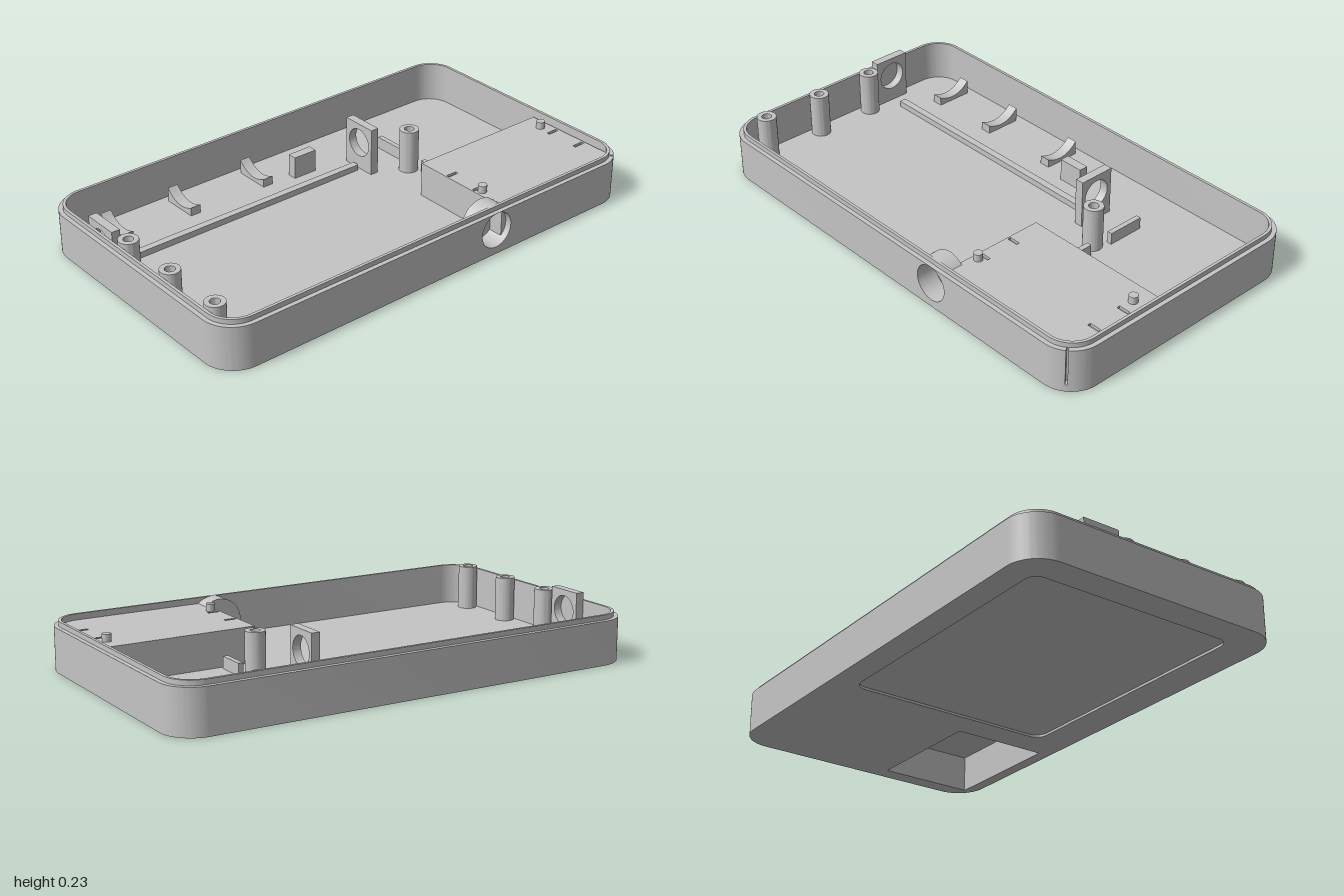
import * as THREE from 'three';
import { toCreasedNormals } from 'three/addons/utils/BufferGeometryUtils.js';

const plastic = new THREE.MeshStandardMaterial({ color: 0xc4c4c4 });
plastic.name = 'light grey plastic';

const HALF_X = 1, HALF_Z = 0.577, RADIUS = 0.13, ARC = 24;
const FLOOR = 0.03, SHOULDER = 0.18, LIP = 0.2;

const V = (x, y) => new THREE.Vector2(x, y);

// Rounded rectangle outline in shape space (shape y = -z)
function roundedPoints(x0, x1, z0, z1, r) {
  const pts = [];
  const centres = [[x1 - r, z1 - r, 90], [x1 - r, z0 + r, 0], [x0 + r, z0 + r, -90], [x0 + r, z1 - r, -180]];
  for (const [cx, cz, start] of centres) {
    for (let i = 0; i <= ARC; i++) {
      const a = THREE.MathUtils.degToRad(start - (90 * i) / ARC);
      pts.push(V(cx + r * Math.cos(a), -(cz + r * Math.sin(a))));
    }
  }
  return pts;
}

const caseOutline = (inset) =>
  roundedPoints(-HALF_X + inset, HALF_X - inset, -HALF_Z + inset, HALF_Z - inset, RADIUS - inset);

const rectPoints = (x0, x1, z0, z1) => [V(x0, -z1), V(x1, -z1), V(x1, -z0), V(x0, -z0)];

function shapeWithHoles(points, holes = []) {
  const shape = new THREE.Shape(points);
  for (const h of holes) shape.holes.push(new THREE.Path(h));
  return shape;
}

function circlePath(x, y, r) {
  return new THREE.Path().absarc(x, y, r, 0, Math.PI * 2, true);
}

function ring(x, y, r, holeR) {
  const s = new THREE.Shape().absarc(x, y, r, 0, Math.PI * 2, false);
  s.holes.push(circlePath(x, y, holeR));
  return s;
}

export function createModel() {
  const group = new THREE.Group();
  group.name = 'enclosureBase';

  function add(name, geometry) {
    const mesh = new THREE.Mesh(toCreasedNormals(geometry, 0.5), plastic);
    mesh.name = name;
    group.add(mesh);
  }
  const extrude = (shape, depth) =>
    new THREE.ExtrudeGeometry(shape, { depth, bevelEnabled: false, curveSegments: 24 });
  // Extrusions along y, z and x
  const slab = (name, shape, y0, y1) =>
    add(name, extrude(shape, y1 - y0).rotateX(-Math.PI / 2).translate(0, y0, 0));
  const plateZ = (name, shape, z0, z1) =>
    add(name, extrude(shape, z1 - z0).translate(0, 0, z0));
  const plateX = (name, shape, x0, x1) =>
    add(name, extrude(shape, x1 - x0).rotateY(-Math.PI / 2).translate(x1, 0, 0));
  const block = (name, x0, x1, z0, z1, y0, y1) =>
    add(name, new THREE.BoxGeometry(x1 - x0, y1 - y0, z1 - z0)
      .translate((x0 + x1) / 2, (y0 + y1) / 2, (z0 + z1) / 2));

  // Outer wall: open band, broken at the front socket and at a narrow corner slot
  const gap0 = 0.19, gap1 = 0.36, wall = 0.03;
  const path = (inset) => {
    const z = -(HALF_Z - inset);
    return [V(gap1, z), ...caseOutline(inset), V(gap0, z)];
  };
  const outer = path(0), inner = path(wall);
  const band = (name, i, j, y0, y1) =>
    slab(name, new THREE.Shape([...outer.slice(i, j + 1), ...inner.slice(i, j + 1).reverse()]), y0, y1);
  const slot = 11;
  band('wallFrontLeft', 0, slot, 0, SHOULDER);
  band('wallMain', slot + 1, outer.length - 1, 0, SHOULDER);
  band('wallBelowSlot', slot, slot + 1, 0, FLOOR);

  // Stepped lip on the rim
  slab('rimLip', shapeWithHoles(caseOutline(0.018), [caseOutline(wall)]), SHOULDER - 0.001, LIP);

  // Floor with the compartment opening and a shallow label recess underneath
  const opening = rectPoints(0.385, 0.93, 0.115, 0.525);
  const recess = roundedPoints(-0.88, 0.26, -0.47, 0.43, 0.05);
  slab('floorUnderside', shapeWithHoles(caseOutline(0.025), [opening, recess]), 0, 0.01);
  slab('floor', shapeWithHoles(caseOutline(0.025), [opening]), 0.01, FLOOR);

  // Compartment box, open below, with blind slots in its roof
  const boxOutline = [V(0.325, -0.55), V(0.92, -0.55), V(0.955, -0.51), V(0.955, -0.095), V(0.325, -0.095)];
  slab('compartmentWalls', shapeWithHoles(boxOutline, [opening]), FLOOR - 0.01, 0.155);
  const slots = [];
  for (const z of [0.24, 0.385]) {
    slots.push(rectPoints(0.332, 0.38, z - 0.007, z + 0.007));
    slots.push(rectPoints(0.895, 0.945, z - 0.007, z + 0.007));
    block('contactRib', 0.38, 0.395, z - 0.007, z + 0.007, 0.03, 0.155);
  }
  block('contactBar', 0.38, 0.392, 0.24, 0.385, 0.07, 0.085);
  slab('compartmentRoof', shapeWithHoles(boxOutline), 0.155, 0.163);
  slab('compartmentRoofTop', shapeWithHoles(boxOutline, slots), 0.163, 0.175);
  for (const [x, z] of [[0.91, 0.18], [0.353, 0.413]]) {
    add('locatingPin', new THREE.CylinderGeometry(0.018, 0.018, 0.04, 24).translate(x, 0.185, z));
  }
  add('roofBoss', new THREE.CylinderGeometry(0.03, 0.03, 0.02, 24).translate(0.59, 0.15, 0.375));

  // Round socket sunk into the front wall
  const sx = 0.275, sy = 0.105, bore = 0.0745;
  const panel = new THREE.Shape([V(gap0, 0), V(gap1, 0), V(gap1, SHOULDER), V(gap0, SHOULDER)]);
  panel.holes.push(circlePath(sx, sy, bore));
  plateZ('socketPanel', panel, HALF_Z - wall, HALF_Z);
  plateZ('socketCup', ring(sx, sy, 0.095, bore), 0.488, 0.55);
  plateZ('socketBack', ring(sx, sy, 0.095, 0.02), 0.48, 0.49);

  // Hollow screw posts
  for (const [x, z] of [[-0.93, -0.11], [-0.93, 0.155], [-0.93, 0.425], [0.433, -0.102]]) {
    slab('screwPost', ring(x, -z, 0.04, 0.02), FLOOR - 0.01, 0.215);
  }

  // Upright holders with round holes
  const holder = new THREE.Shape([V(-0.317, 0.02), V(-0.16, 0.02), V(-0.16, 0.233), V(-0.317, 0.233)]);
  holder.holes.push(circlePath(-0.238, 0.148, 0.06));
  for (const x of [-0.95, 0.297]) plateX('shaftHolder', holder, x - 0.018, x + 0.018);

  // Floor rail, ribs and stop block
  block('floorRail', -0.865, 0.265, -0.255, -0.225, 0.02, 0.055);
  block('backRib', 0.456, 0.477, -0.32, -0.16, 0.02, 0.08);
  block('frontRib', 0.456, 0.477, -0.05, 0.075, 0.02, 0.08);
  block('stopBlock', 0.02, 0.128, -0.375, -0.335, 0.02, 0.125);

  // Curved cradles along the back
  const cradle = new THREE.Shape();
  cradle.moveTo(-0.515, 0.02);
  cradle.lineTo(-0.36, 0.02);
  cradle.lineTo(-0.36, 0.065);
  cradle.quadraticCurveTo(-0.45, 0.02, -0.515, 0.09);
  for (const x of [-0.775, -0.46, -0.1]) plateX('cradle', cradle, x - 0.023, x + 0.023);

  return group;
}
